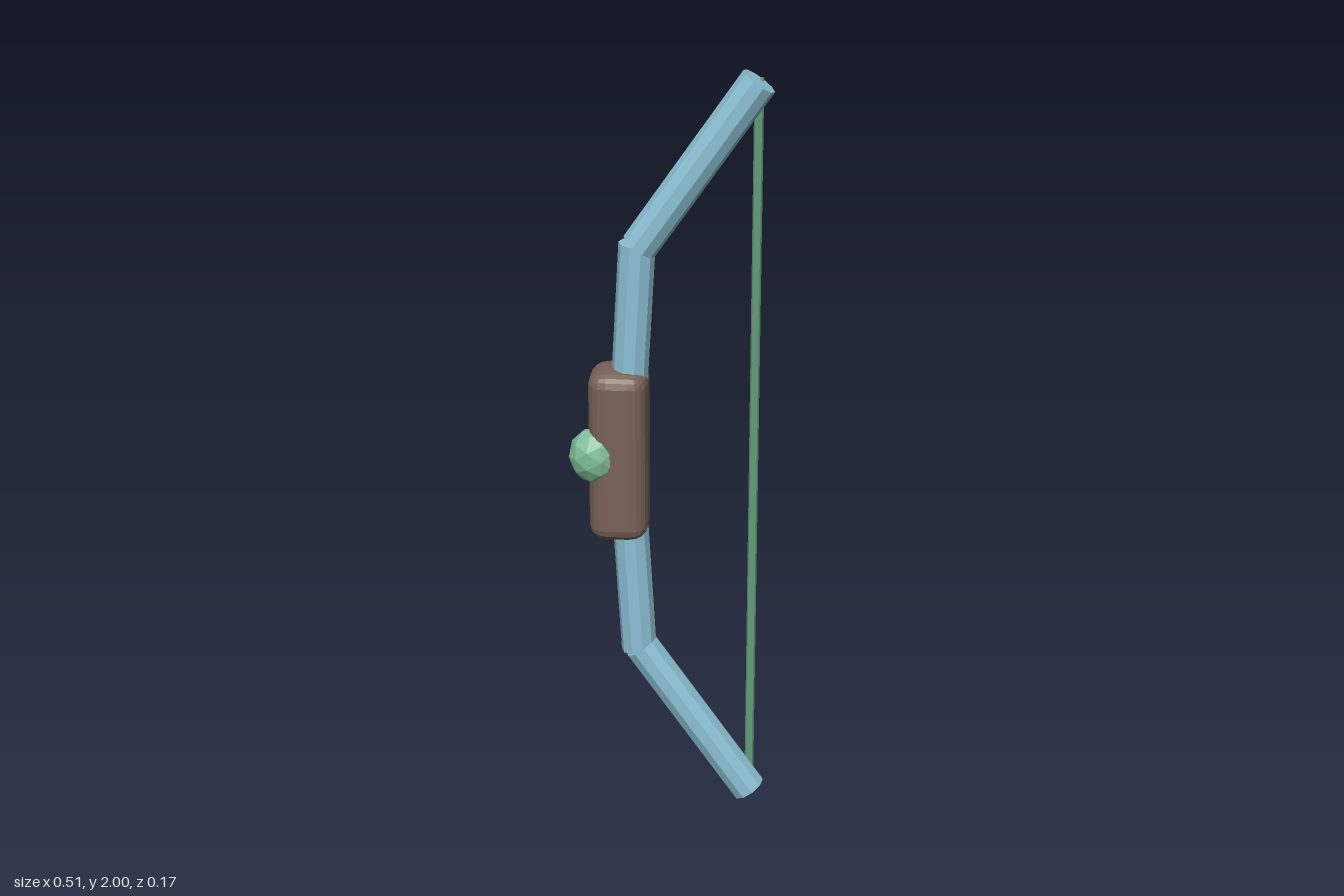
import * as THREE from 'three';
import { RoundedBoxGeometry } from 'three/addons/geometries/RoundedBoxGeometry.js';

const Z = -0.01; // depth of the bow's centre plane

function material(color) {
  return new THREE.MeshStandardMaterial({ color, flatShading: true });
}

// Straight faceted rod between two points, one ridge lying in the bow's plane
function rod(name, a, b, radius, sides, mat) {
  const dir = b.clone().sub(a);
  const geometry = new THREE.CylinderGeometry(radius, radius, dir.length(), sides, 1, false, Math.PI / 2);
  const mesh = new THREE.Mesh(geometry, mat);
  mesh.name = name;
  mesh.position.copy(a).add(b).multiplyScalar(0.5);
  mesh.quaternion.setFromUnitVectors(new THREE.Vector3(0, 1, 0), dir.normalize());
  return mesh;
}

export function createModel() {
  const bow = new THREE.Group();
  bow.name = 'bow';
  const wood = material(0x8cc0d4);
  const leather = material(0x786259);
  const gemGreen = material(0x7fbd9a);
  const stringGreen = material(0x659f7d);

  // Upper and lower limbs, mirrored about y = 1
  for (const [side, s] of [['upper', 1], ['lower', -1]]) {
    const at = (x, h) => new THREE.Vector3(x, 1 + s * h, Z);
    // always build from bottom to top so the rods stay upright
    const span = (p, q) => (s > 0 ? [p, q] : [q, p]);
    bow.add(rod(side + 'InnerLimb', ...span(at(-0.112, 0.02), at(-0.081, 0.561)), 0.0465, 10, wood));
    bow.add(rod(side + 'OuterLimb', ...span(at(-0.076, 0.552), at(0.2155, 0.973)), 0.0465, 10, wood));
  }

  // Padded grip, its end rounding flatter than its side rounding
  const grip = new THREE.Mesh(new RoundedBoxGeometry(0.151, 0.62, 0.156, 2, 0.049), leather);
  grip.name = 'grip';
  grip.scale.y = 0.745;
  grip.position.set(-0.129, 1.003, Z);
  bow.add(grip);

  // Faceted gem set into the front corner of the grip
  const gemShape = new THREE.IcosahedronGeometry(1, 1);
  gemShape.rotateY(0.3);
  gemShape.scale(0.069, 0.075, 0.056);
  const gem = new THREE.Mesh(gemShape, gemGreen);
  gem.name = 'gem';
  gem.position.set(-0.187, 1.005, 0.028);
  bow.add(gem);

  // Bowstring along the back of the limb tips
  bow.add(rod('bowstring', new THREE.Vector3(0.214, 0.027, -0.043),
    new THREE.Vector3(0.214, 1.973, -0.043), 0.012, 8, stringGreen));

  return bow;
}
